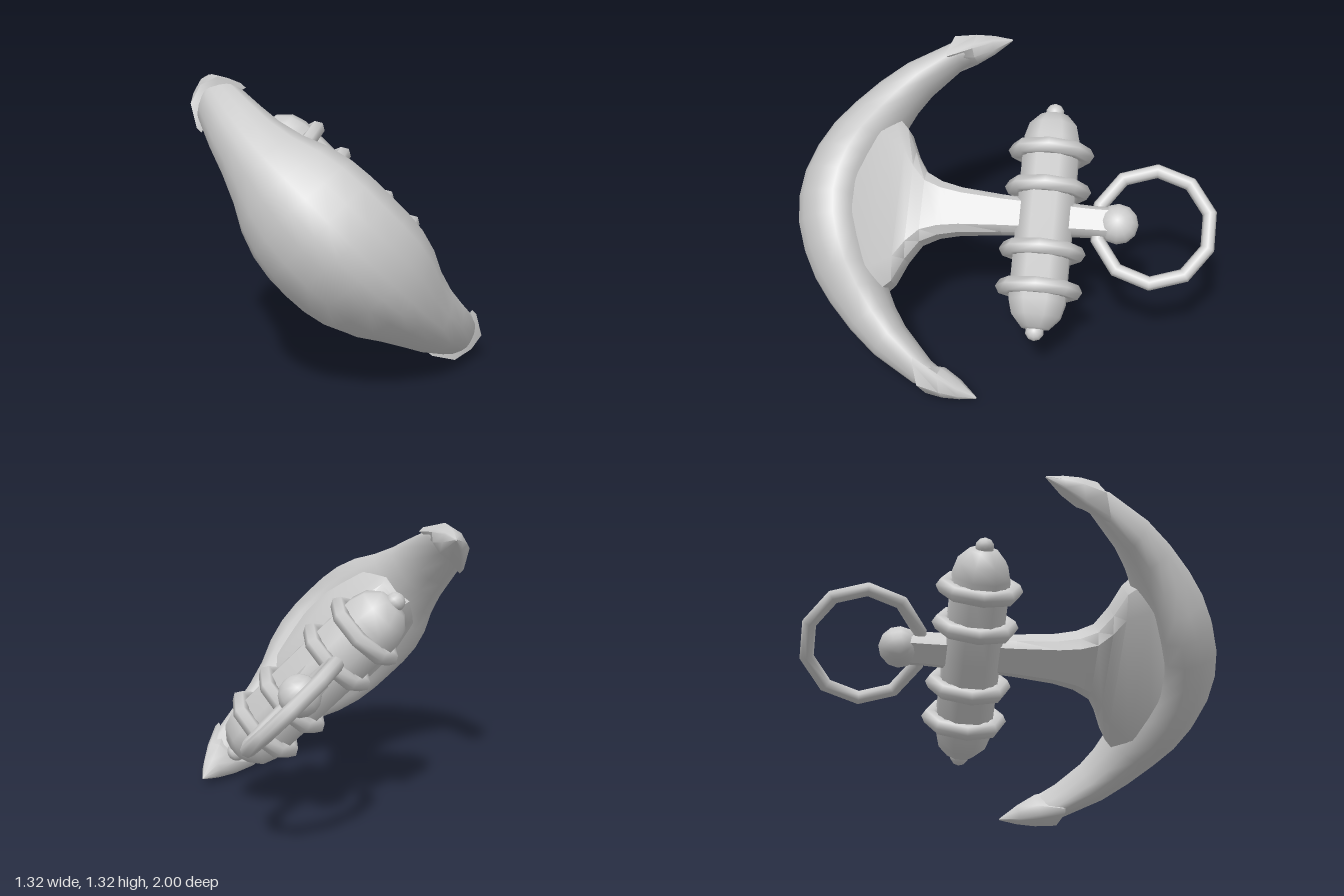
import * as THREE from 'three';
import { toCreasedNormals } from 'three/addons/utils/BufferGeometryUtils.js';

const material = new THREE.MeshStandardMaterial({ color: 0xcccccc });

// Skin a list of closed cross-sections ([x, y, z] points) and cap both ends.
function loft(sections, crease) {
  const n = sections[0].length;
  const pos = sections.flat();
  const idx = [];
  for (let s = 0; s < sections.length - 1; s++) {
    for (let i = 0; i < n; i++) {
      const a = s * n + i, b = s * n + ((i + 1) % n);
      idx.push([a, b, b + n], [a, b + n, a + n]);
    }
  }
  [0, sections.length - 1].forEach((s, end) => {
    const centre = [0, 1, 2].map(k => sections[s].reduce((sum, p) => sum + p[k], 0) / n);
    const c = pos.push(centre) - 1;
    for (let i = 0; i < n; i++) {
      const a = s * n + i, b = s * n + ((i + 1) % n);
      idx.push(end ? [a, b, c] : [b, a, c]);
    }
  });
  // Turn the faces outward if the enclosed volume is negative
  const v = pos.map(p => new THREE.Vector3(...p));
  let volume = 0;
  for (const [a, b, c] of idx) volume += v[a].dot(v[b].clone().cross(v[c]));
  if (volume < 0) idx.forEach(t => t.reverse());
  const geo = new THREE.BufferGeometry();
  geo.setAttribute('position', new THREE.Float32BufferAttribute(pos.flat(), 3));
  geo.setIndex(idx.flat());
  return toCreasedNormals(geo, crease);
}

function add(parent, name, geo) {
  const mesh = new THREE.Mesh(geo, material);
  mesh.name = name;
  parent.add(mesh);
  return mesh;
}

// Crescent arms: [outer x, outer z, inner x, inner z, half width]
function armsGeometry() {
  const half = [
    [0, 0.995, 0, 0.62, 0.31],
    [0.13, 0.98, 0.09, 0.61, 0.308],
    [0.26, 0.935, 0.18, 0.59, 0.295],
    [0.38, 0.87, 0.28, 0.56, 0.262],
    [0.49, 0.785, 0.38, 0.52, 0.21],
    [0.61, 0.67, 0.48, 0.47, 0.172],
    [0.715, 0.545, 0.57, 0.41, 0.15],
    [0.83, 0.345, 0.72, 0.27, 0.118],
    [0.865, 0.18, 0.8, 0.15, 0.05],
  ];
  const rows = [...half.slice(1).reverse().map(([a, b, c, d, w]) => [-a, b, -c, d, w]), ...half];
  // Ridged lens profile: [fraction from inner to outer edge, fraction of half width]
  const side = [[0.06, 0.45], [0.2, 0.84], [0.38, 1], [0.62, 0.87], [0.83, 0.58], [0.96, 0.25]];
  const profile = [[0, 0], ...side, [1, 0], ...side.map(([s, f]) => [s, -f]).reverse()];
  return loft(rows.map(([ox, oz, ix, iz, w]) =>
    profile.map(([s, f]) => [ix + (ox - ix) * s, f * w, iz + (oz - iz) * s])), 1.2);
}

// Shank: chamfered bar flaring into the arms
function shankGeometry() {
  const rows = [
    [-0.52, 0.07, 0.07], [-0.42, 0.07, 0.068], [-0.2, 0.08, 0.075], [0, 0.09, 0.08],
    [0.2, 0.108, 0.09], [0.3, 0.13, 0.097], [0.38, 0.17, 0.105], [0.44, 0.26, 0.115],
    [0.49, 0.37, 0.125], [0.58, 0.46, 0.17], [0.68, 0.47, 0.24],
  ];
  const corner = [[1, 0.6], [0.7, 1], [-0.7, 1], [-1, 0.6], [-1, -0.6], [-0.7, -1], [0.7, -1], [1, -0.6]];
  return loft(rows.map(([z, hx, hy]) => corner.map(([x, y]) => [x * hx, y * hy, z])), 0.7);
}

// Barbed fluke: [z, half width, outer x, inner x, edge x, sweep of the barbs]
function flukeGeometry(side) {
  const rows = [
    [0.04, 0.004, 0.876, 0.868, 0.872, 0],
    [0.12, 0.055, 0.886, 0.795, 0.845, 0.01],
    [0.2, 0.1, 0.886, 0.745, 0.805, 0.02],
    [0.28, 0.142, 0.872, 0.74, 0.75, 0.055],
  ];
  const across = [-1, -0.6, 0, 0.6, 1];
  return loft(rows.map(([z, w, outer, inner, edge, sweep]) => {
    const point = (f, x, rim) => [side * (x + (rim - x) * Math.abs(f) ** 3), f * w, z + sweep * Math.abs(f)];
    return [
      ...across.map(f => point(f, outer, edge)),
      ...across.map(f => point(-f, inner, edge - 0.2 * w)),
    ];
  }), 0.8);
}

export function createModel() {
  const model = new THREE.Group();
  model.name = 'anchor';

  // The whole anchor lies along z and is rolled by 45 degrees
  const body = new THREE.Group();
  body.name = 'anchorBody';
  body.rotation.z = -Math.PI / 4;
  body.position.y = 0.655;
  model.add(body);

  add(body, 'arms', armsGeometry());
  add(body, 'shank', shankGeometry());
  for (const side of [-1, 1]) add(body, side > 0 ? 'leftFluke' : 'rightFluke', flukeGeometry(side));

  // Stock: eight-sided bar with blunt ends, knobs and four collars
  const stock = new THREE.Group();
  stock.name = 'stock';
  stock.position.set(0.01, -0.004, -0.2);
  body.add(stock);
  const outline = [[0, -0.53], [0.07, -0.515], [0.122, -0.46], [0.142, -0.39],
    [0.143, 0], [0.142, 0.39], [0.122, 0.46], [0.07, 0.515], [0, 0.53]];
  const bar = new THREE.LatheGeometry(outline.map(p => new THREE.Vector2(...p)), 8);
  bar.rotateY(Math.PI / 8).rotateZ(-Math.PI / 2).scale(1, 1.13, 1);
  add(stock, 'stockBar', toCreasedNormals(bar, 0.9));
  for (const side of [-1, 1]) {
    add(stock, 'stockKnob', new THREE.SphereGeometry(0.045, 10, 8)).position.x = side * 0.53;
    for (const x of [0.15, 0.33]) {
      const collar = new THREE.TorusGeometry(0.168, 0.039, 6, 8).rotateY(Math.PI / 2);
      add(stock, 'stockCollar', collar).position.x = side * x;
    }
  }

  // Shank head and the ring passing through it
  add(body, 'shankHead', new THREE.SphereGeometry(0.098, 12, 8)).position.z = -0.545;
  const ring = new THREE.TorusGeometry(0.27, 0.034, 8, 10).rotateX(Math.PI / 2);
  add(body, 'ring', ring).position.z = -0.713;

  return model;
}
